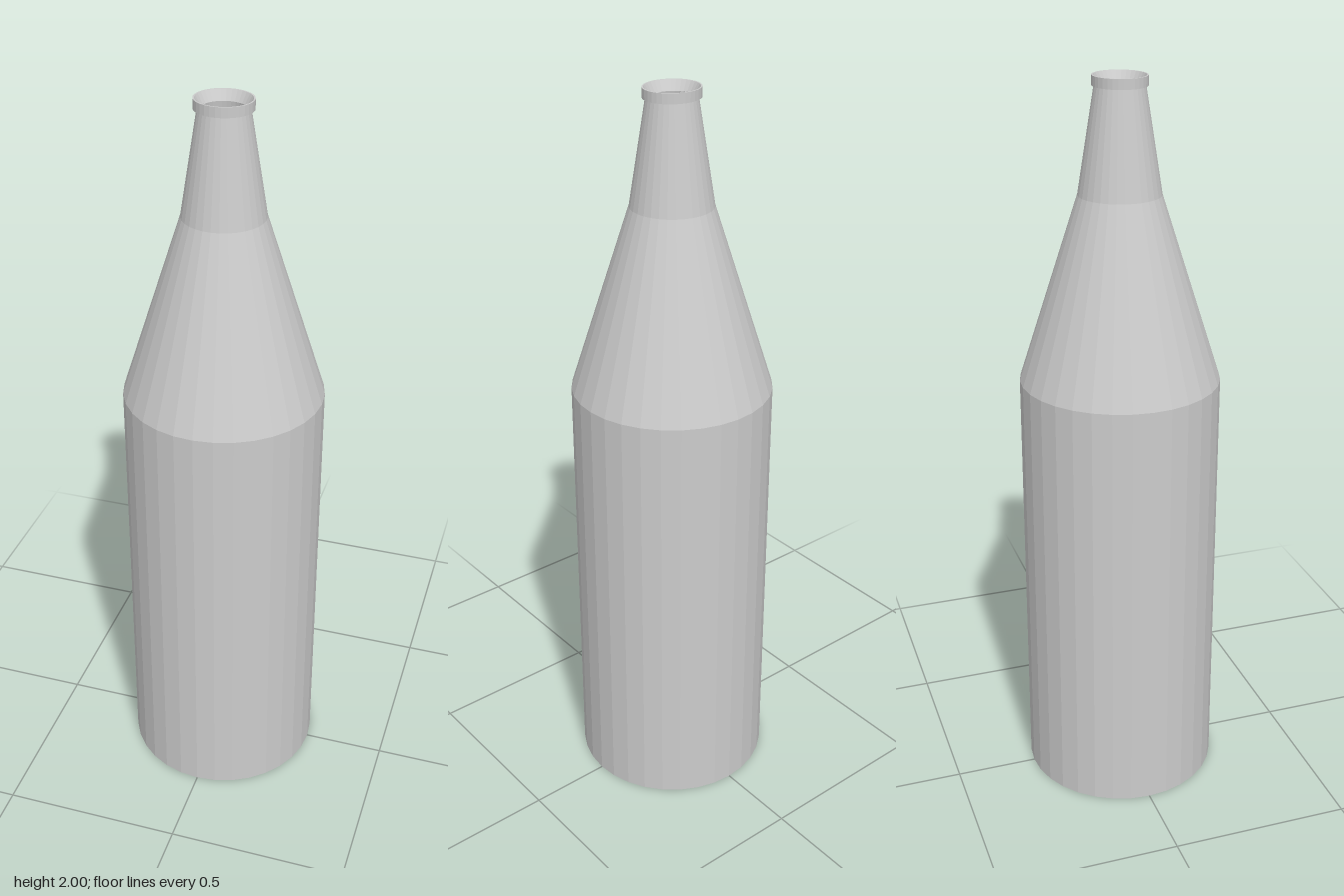
import * as THREE from 'three';

const SIDES = 32;

// Faceted solid of revolution from [radius, height] pairs
function turned(name, profile) {
  const points = profile.map(([r, y]) => new THREE.Vector2(r, y));
  const material = new THREE.MeshStandardMaterial({
    color: 0xcccccc, flatShading: true, side: THREE.DoubleSide,
  });
  const mesh = new THREE.Mesh(new THREE.LatheGeometry(points, SIDES), material);
  mesh.name = name;
  return mesh;
}

export function createModel() {
  const bottle = new THREE.Group();
  bottle.name = 'bottle';

  // Outer wall: base, straight body, sloping shoulder, tapering neck
  bottle.add(turned('outerWall', [
    [0, 0], [0.271, 0], [0.271, 1.2], [0.11, 1.7], [0.065, 1.98],
  ]));

  // Hollow inside, from the mouth down to the floor
  bottle.add(turned('innerWall', [
    [0.057, 1.975], [0.1, 1.7], [0.261, 1.2], [0.261, 0.01], [0, 0.01],
  ]));

  // Slightly oval lip with a funnelled mouth
  const lip = turned('lip', [
    [0.057, 1.974], [0.076, 1.974], [0.076, 2], [0.072, 2], [0.057, 1.974],
  ]);
  lip.scale.z = 0.935;
  bottle.add(lip);

  return bottle;
}
